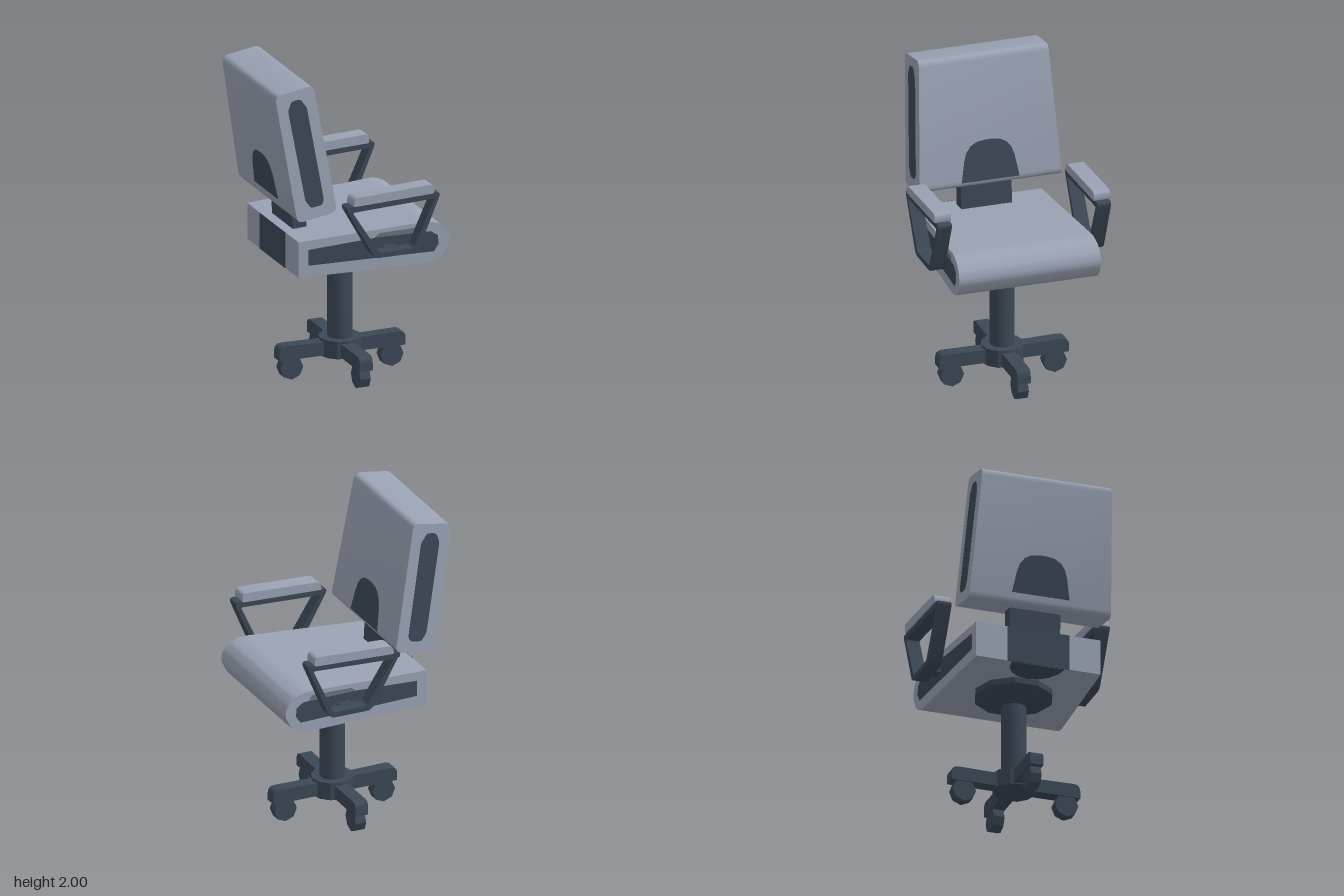
import * as THREE from 'three';
import { toCreasedNormals } from 'three/addons/utils/BufferGeometryUtils.js';

const CX = 0.03; // axis of the pedestal

export function createModel() {
  const chair = new THREE.Group();
  chair.name = 'officeChair';
  const fabric = new THREE.MeshStandardMaterial({ color: 0x9aa2b4 });
  const dark = new THREE.MeshStandardMaterial({ color: 0x3c4856 });
  const worn = new THREE.MeshStandardMaterial({ color: 0x69727f });
  fabric.name = 'greyFabric';
  dark.name = 'darkPlastic';
  worn.name = 'wornFabric';

  const add = (name, geometry, material, parent = chair) => {
    const mesh = new THREE.Mesh(geometry, material);
    mesh.name = name;
    parent.add(mesh);
    return mesh;
  };

  // Closed outline whose corners are rounded by r (one value, or one per corner)
  const outline = (pts, r = 0, Type = THREE.Shape) => {
    const s = new Type();
    const v = pts.map(p => new THREE.Vector2(...p));
    v.forEach((p, i) => {
      const rad = Array.isArray(r) ? r[i] : r;
      const toward = q => p.clone().add(q.clone().sub(p).setLength(rad));
      const a = toward(v[(i + v.length - 1) % v.length]);
      const b = toward(v[(i + 1) % v.length]);
      if (i === 0) s.moveTo(a.x, a.y); else s.lineTo(a.x, a.y);
      if (rad > 0) s.quadraticCurveTo(p.x, p.y, b.x, b.y);
    });
    s.closePath();
    return s;
  };

  // Extrusion centred on z = 0
  const slab = (shape, depth) =>
    new THREE.ExtrudeGeometry(shape, { depth, bevelEnabled: false, curveSegments: 4 }).translate(0, 0, -depth / 2);

  const warp = (geo, rule) => {
    const p = geo.attributes.position;
    for (let i = 0; i < p.count; i++) p.setXYZ(i, ...rule(p.getX(i), p.getY(i), p.getZ(i)));
    return toCreasedNormals(geo, 0.7);
  };

  // Cushion whose half width varies over its profile
  const cushion = (shape, half) => warp(slab(shape, 2), (x, y, z) => [x, y, z * half(x, y)]);
  // Thin inlays lying on both sides of a cushion
  const inlays = (name, shape, half, material) => {
    for (const s of [-1, 1]) {
      add(name, warp(slab(shape, 0.006), (x, y, z) => [x, y, z + s * half(x, y)]), material);
    }
  };

  // Seat, widening towards its rounded front
  const seatHalf = x => 0.402 + (x + 0.41) * 0.054;
  add('seat', cushion(outline([
    [-0.41, 0.782], [0.43, 0.782], [0.515, 0.815], [0.565, 0.915],
    [0.55, 0.975], [0.505, 1.025], [0.43, 1.05], [-0.41, 1.01],
  ], [0, 0.03, 0.03, 0.03, 0.02, 0.02, 0.03, 0]), seatHalf), fabric);
  inlays('seatSideInlay', outline([
    [-0.345, 0.855], [0.46, 0.855], [0.49, 0.9], [0.485, 0.955], [0.44, 0.985], [0.1, 0.985], [-0.345, 0.955],
  ]), seatHalf, dark);
  inlays('seatWornPatch', outline([[0.08, 0.985], [0.4, 0.985], [0.38, 1.02], [0.11, 1.01]]), seatHalf, worn);
  add('seatBackInlay', new THREE.BoxGeometry(0.006, 0.228, 0.4).translate(-0.411, 0.896, 0), dark);
  const halfDisc = new THREE.Shape();
  halfDisc.absellipse(0, 0, 0.17, 0.2, 0, Math.PI);
  const under = add('seatUnderInlay', slab(halfDisc, 0.006), dark);
  under.rotation.set(Math.PI / 2, 0, -Math.PI / 2);
  under.position.set(-0.408, 0.781, 0);

  // Leaning backrest, narrowing towards the top
  const backHalf = (x, y) => 0.457 - (y - 1.17) * 0.05;
  add('backrest', cushion(outline(
    [[-0.44, 1.153], [-0.178, 1.195], [-0.318, 2.01], [-0.572, 1.968]], 0.042), backHalf), fabric);
  inlays('backrestSideInlay', outline([
    [-0.386, 1.29], [-0.35, 1.24], [-0.28, 1.25], [-0.265, 1.28],
    [-0.365, 1.875], [-0.407, 1.934], [-0.465, 1.925], [-0.487, 1.865],
  ], 0.015), backHalf, dark);

  // Arched inlays on the front and rear of the backrest
  const arch = outline([[-0.185, 1.225], [0.185, 1.225], [0.14, 1.475], [-0.14, 1.475]], [0, 0, 0.12, 0.12]);
  for (const [name, turn, x0, slope] of [
    ['frontArchInlay', 1, -0.178, 0.1718], ['rearArchInlay', -1, -0.44, 0.162],
  ]) {
    const y0 = turn > 0 ? 1.195 : 1.153;
    add(name, warp(slab(arch, 0.006).rotateY(turn * Math.PI / 2),
      (x, y, z) => [x + x0 - (y - y0) * slope, y, z]), dark);
  }
  add('backrestBracket', slab(outline([[-0.345, 0.98], [-0.255, 0.98], [-0.27, 1.22], [-0.36, 1.22]]), 0.325), dark);

  // Armrests
  const frame = outline([
    [0.03, 0.897], [0.31, 0.897], [0.465, 1.27], [-0.165, 1.245],
  ], 0.035);
  frame.holes.push(outline([
    [0.06, 0.93], [0.285, 0.93], [0.422, 1.232], [-0.117, 1.208],
  ], 0.015, THREE.Path));
  const pad = outline([[-0.115, 1.247], [0.415, 1.267], [0.415, 1.326], [-0.11, 1.302]], [0.008, 0.008, 0.03, 0.035]);
  for (const s of [-1, 1]) {
    const arm = new THREE.Group();
    arm.name = s > 0 ? 'leftArmrest' : 'rightArmrest';
    arm.position.z = s * 0.51;
    add('armFrame', toCreasedNormals(slab(frame, 0.088), 0.7), dark, arm);
    add('armPad', toCreasedNormals(slab(pad, 0.106), 0.7), fabric, arm);
    add('armMount', new THREE.BoxGeometry(0.08, 0.035, 0.09).translate(0.165, 0.915, -s * 0.08), dark, arm);
    chair.add(arm);
  }

  // Pedestal
  const turned = (pts, sides) =>
    toCreasedNormals(new THREE.LatheGeometry(pts.map(p => new THREE.Vector2(...p)), sides), 0.5).translate(CX, 0, 0);
  add('swivelPlate', turned([[0.001, 0.68], [0.08, 0.685], [0.245, 0.745], [0.245, 0.79], [0.001, 0.79]], 10), dark);
  add('column', turned([[0.077, 0.2], [0.077, 0.7]], 16), dark);
  add('hub', turned([[0.001, 0.12], [0.132, 0.12], [0.132, 0.232], [0.001, 0.232]], 12), dark);

  // Four legs with castors
  const legShape = outline([[0.08, 0.13], [0.415, 0.13], [0.415, 0.22], [0.08, 0.215]], [0, 0, 0.045, 0]);
  for (let i = 0; i < 4; i++) {
    const leg = new THREE.Group();
    leg.name = 'leg' + (i + 1);
    leg.position.x = CX;
    leg.rotation.y = i * Math.PI / 2;
    add('legBeam', toCreasedNormals(slab(legShape, 0.085), 0.7), dark, leg);
    const wheel = new THREE.CylinderGeometry(0.075, 0.075, 0.068, 8).rotateX(Math.PI / 2);
    add('castor', toCreasedNormals(wheel, 0.5).translate(0.33, 0.075, 0), dark, leg);
    chair.add(leg);
  }
  return chair;
}
